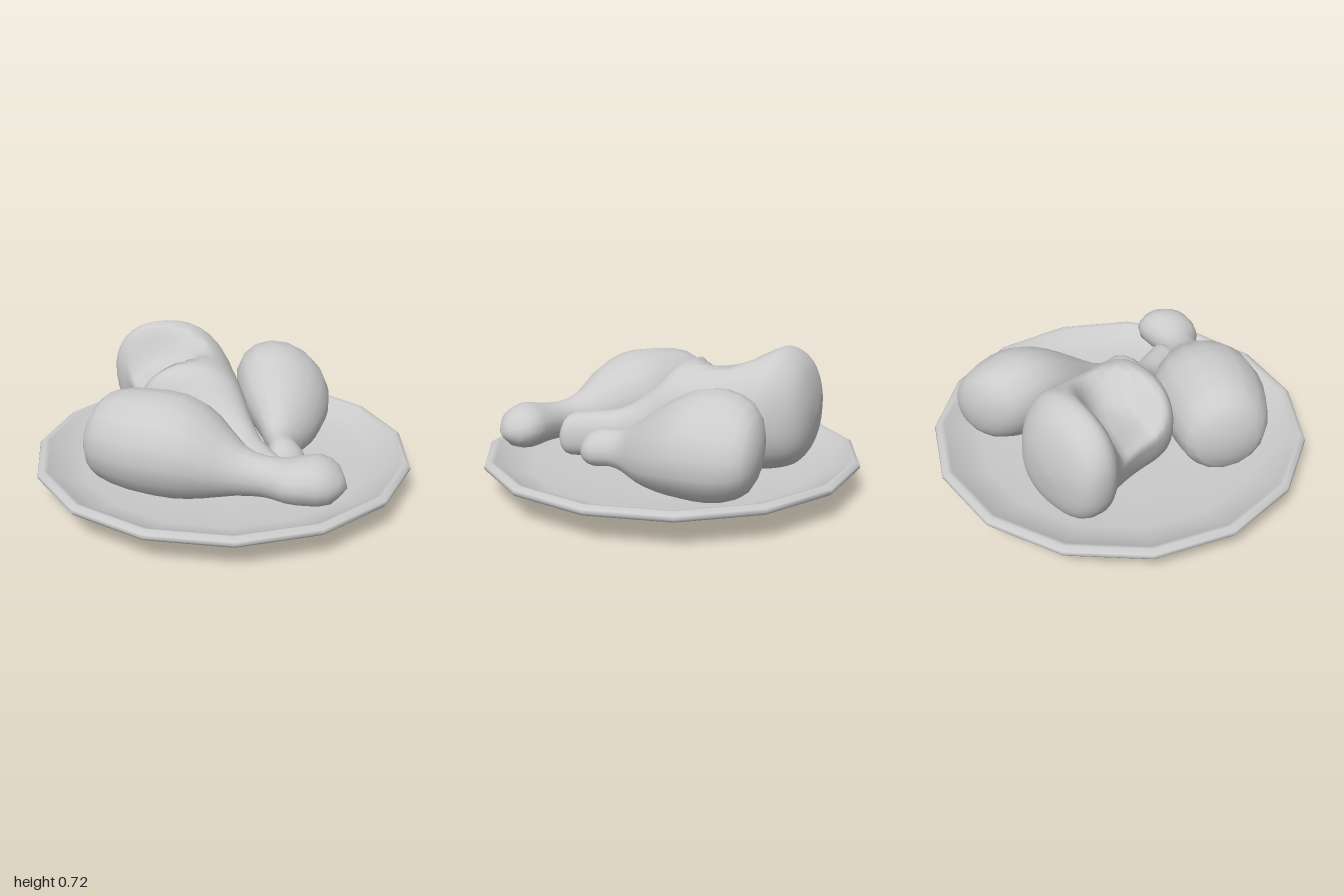
import * as THREE from 'three';
import { mergeVertices } from 'three/addons/utils/BufferGeometryUtils.js';

const material = () => new THREE.MeshStandardMaterial({ color: 0xcccccc });

// Loft rounded cross-sections, all square to one heading, along a path.
// Each station: [x, z, half width, bottom, top]; lean shifts the tops sideways,
// power below 1 makes the sections squarer, rule adjusts each point.
function loft(stations, { heading = [0, 1], sides = 16, sub = 2, lean = 0, power = 1, rule = null } = {}) {
  const curve = (points) => new THREE.CatmullRomCurve3(points, false, 'catmullrom', 0.5);
  const path = curve(stations.map(([x, z, , b, t]) => new THREE.Vector3(x, (b + t) / 2, z)));
  const size = curve(stations.map(([, , w, b, t]) => new THREE.Vector3(w, (t - b) / 2, 0)));
  const side = new THREE.Vector3(heading[1], 0, -heading[0]).normalize();
  const rings = (stations.length - 1) * sub;
  const bend = (v) => Math.sign(v) * Math.pow(Math.abs(v), power);
  const pos = [], index = [];
  for (let i = 0; i <= rings; i++) {
    const c = path.getPoint(i / rings), s = size.getPoint(i / rings);
    const w = Math.max(0, s.x), h = Math.max(0, s.y);
    for (let j = 0; j < sides; j++) {
      const a = (j / sides) * Math.PI * 2;
      const up = bend(Math.sin(a));
      const p = c.clone().addScaledVector(side, w * bend(Math.cos(a)) + lean * up * Math.min(1, h / 0.25));
      p.y += h * up;
      if (rule) rule(p);
      pos.push(p.x, p.y, p.z);
      if (i < rings) {
        const k = (j + 1) % sides, r = i * sides, n = r + sides;
        index.push(r + j, r + k, n + j, r + k, n + k, n + j);
      }
    }
  }
  let geo = new THREE.BufferGeometry();
  geo.setAttribute('position', new THREE.Float32BufferAttribute(pos, 3));
  geo.setIndex(index);
  geo = mergeVertices(geo, 1e-5);
  geo.computeVertexNormals();
  return geo;
}

// Scoop bitten out of the upper side of the middle piece
function bite(p) {
  const u = (p.x + 0.37) / 0.32, v = (p.z + 0.29) / 0.23;
  const d = Math.max(0, 1 - u * u - v * v);
  const upper = THREE.MathUtils.clamp((p.y - 0.38) / 0.2, 0, 1);
  p.y -= 0.15 * upper * THREE.MathUtils.smoothstep(d, 0, 0.75);
}

export function createModel() {
  const group = new THREE.Group();
  const add = (name, geo) => {
    const mesh = new THREE.Mesh(geo, material());
    mesh.name = name;
    group.add(mesh);
    return mesh;
  };

  // Fifteen-sided shallow plate with a foot and a rolled rim
  const profile = [
    [0, 0], [0.245, 0], [0.25, 0.015], [0.53, 0.042], [0.84, 0.097], [0.995, 0.14], [1.005, 0.155],
    [1, 0.17], [0.975, 0.185], [0.95, 0.178], [0.87, 0.125], [0.76, 0.098], [0.5, 0.078], [0, 0.07],
  ].map(([r, y]) => new THREE.Vector2(r, y));
  add('plate', new THREE.LatheGeometry(profile, 15, Math.PI / 2)).position.x = -0.011;

  // Front drumstick, lying across the plate
  add('frontDrumstick', loft([
    [-0.695, 0.095, 0, 0.33, 0.33],
    [-0.67, 0.11, 0.16, 0.18, 0.48],
    [-0.60, 0.16, 0.235, 0.12, 0.58],
    [-0.45, 0.27, 0.275, 0.10, 0.615],
    [-0.28, 0.37, 0.28, 0.10, 0.61],
    [-0.15, 0.46, 0.225, 0.13, 0.54],
    [-0.02, 0.55, 0.13, 0.17, 0.42],
    [0.10, 0.62, 0.095, 0.185, 0.385],
    [0.205, 0.68, 0.14, 0.185, 0.395],
    [0.31, 0.71, 0.16, 0.18, 0.415],
    [0.395, 0.755, 0.12, 0.20, 0.375],
    [0.45, 0.785, 0, 0.28, 0.28],
  ], { heading: [0.85, 0.53] }));

  // Side drumstick, pointing forward
  add('sideDrumstick', loft([
    [0.46, -0.655, 0, 0.34, 0.34],
    [0.45, -0.63, 0.13, 0.21, 0.47],
    [0.42, -0.56, 0.22, 0.13, 0.56],
    [0.40, -0.42, 0.26, 0.09, 0.605],
    [0.39, -0.28, 0.26, 0.09, 0.59],
    [0.37, -0.14, 0.225, 0.09, 0.52],
    [0.34, 0, 0.16, 0.10, 0.42],
    [0.295, 0.12, 0.10, 0.12, 0.335],
    [0.278, 0.21, 0.08, 0.13, 0.315],
    [0.275, 0.30, 0.097, 0.12, 0.31],
    [0.255, 0.37, 0.08, 0.14, 0.27],
    [0.25, 0.4, 0, 0.2, 0.2],
  ], { lean: -0.06 }));

  // Large middle drumstick with a bite taken from it
  add('bittenDrumstick', loft([
    [-0.27, -0.735, 0, 0.39, 0.39],
    [-0.27, -0.715, 0.17, 0.22, 0.52],
    [-0.26, -0.66, 0.265, 0.12, 0.65],
    [-0.235, -0.56, 0.31, 0.08, 0.72],
    [-0.185, -0.45, 0.295, 0.08, 0.69],
    [-0.165, -0.28, 0.285, 0.08, 0.655],
    [-0.16, -0.08, 0.285, 0.08, 0.635],
    [-0.13, 0.01, 0.255, 0.08, 0.60],
    [-0.05, 0.11, 0.19, 0.08, 0.49],
    [0.02, 0.20, 0.135, 0.1, 0.41],
    [0.07, 0.30, 0.105, 0.1, 0.365],
    [0.11, 0.43, 0.10, 0.11, 0.35],
    [0.145, 0.54, 0.09, 0.12, 0.33],
    [0.16, 0.6, 0, 0.22, 0.22],
  ], { sides: 32, sub: 4, lean: -0.02, power: 0.88, rule: bite }));

  return group;
}
